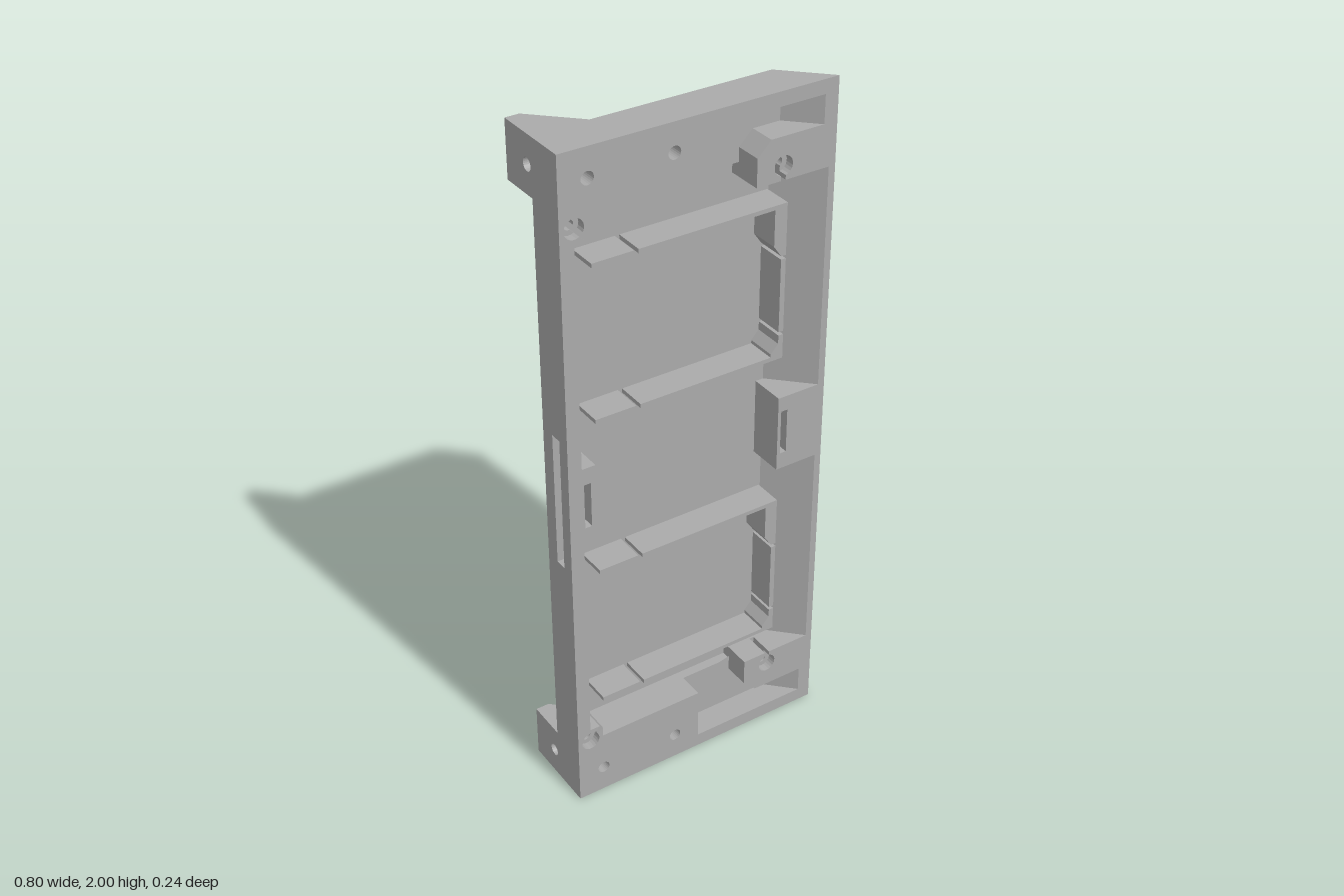
import * as THREE from 'three';

const FRONT = 0.118; // z of the front face
const FLOOR = 0.012; // thickness of the back panel
const grey = new THREE.MeshStandardMaterial({ color: 0xaaaaaa });
grey.name = 'grey';

const points = (list) => list.map(([x, y]) => new THREE.Vector2(x, y));
const rect = (x0, x1, y0, y1) => [[x0, y0], [x1, y0], [x1, y1], [x0, y1]];

function circle(cx, cy, r, n = 24) {
  return Array.from({ length: n }, (_, i) => {
    const a = (i / n) * Math.PI * 2;
    return [cx + r * Math.cos(a), cy + r * Math.sin(a)];
  });
}

// Extrude an outline with holes from z0 to z1
function slab(outline, holes, z0, z1) {
  const shape = new THREE.Shape(points(outline));
  shape.holes = holes.map((h) => new THREE.Path(points(h)));
  const geo = new THREE.ExtrudeGeometry(shape, { depth: z1 - z0, bevelEnabled: false });
  return geo.translate(0, 0, z0);
}

// Lean everything on the far +x side inwards at 45 degrees towards the back
function leanRight(geo) {
  const p = geo.attributes.position;
  for (let i = 0; i < p.count; i++) {
    if (p.getX(i) > 0.3) p.setX(i, p.getX(i) - (FRONT - p.getZ(i)));
  }
  geo.computeVertexNormals();
  return geo;
}

// Round screw pocket opening into the cavity through a narrow notch
function keyhole(cx, cy, r, dir) {
  const a = Math.asin(0.007 / r), n = 20;
  return Array.from({ length: n + 1 }, (_, i) => {
    const t = dir + a + (i / n) * (Math.PI * 2 - 2 * a);
    return [cx + r * Math.cos(t), cy + r * Math.sin(t)];
  });
}

// Cavity outline: upper half mirrored about y = 1
function cavity(pocket, r) {
  const upper = [
    [0.25, 1.115], [0.38, 1.115], [0.38, 1.76],
    ...(r ? [[0.247, 1.76], ...keyhole(0.24, 1.8, r, -Math.PI / 2), [0.233, 1.76]] : []),
    [0.16, 1.76],
    ...(pocket
      ? [[0.16, 1.84], [0.2, 1.88], [0.36, 1.88], [0.36, 1.96], [0, 1.96], [0, 1.8]]
      : [[0.16, 1.8]]),
    [-0.32, 1.8],
    ...(r ? [[-0.32, 1.77], ...keyhole(-0.36, 1.8, r, -Math.PI / 4), [-0.33, 1.76]] : [[-0.32, 1.76]]),
    [-0.36, 1.76], [-0.36, 1.2],
  ];
  return [...upper.map(([x, y]) => [x, 2 - y]).reverse(), ...upper];
}

export function createModel() {
  const model = new THREE.Group();
  model.name = 'mountingPanel';
  const add = (name, geo, parent = model) => {
    const mesh = new THREE.Mesh(geo, grey);
    mesh.name = name;
    parent.add(mesh);
    return mesh;
  };

  // Through holes, wider at the back for the screw heads
  const outer = rect(-0.4, 0.4, 0, 2);
  const screws = (r) => [0.08, 1.92].flatMap((y) => [circle(-0.08, y, r), circle(-0.32, y, 0.018)]);
  const rightSlot = rect(0.26, 0.28, 0.935, 1.07);

  // Back panel and stacked frame layers
  add('backPanel', leanRight(slab(outer, screws(0.032), 0, FLOOR)));
  add('frameBase', leanRight(slab(outer, [cavity(false, 0), ...screws(0.032)], FLOOR, 0.04)));
  add('frameLower', leanRight(slab(outer, [cavity(true, 0.014), ...screws(0.018)], 0.04, 0.045)));
  // this layer is left open on one side as the long side slot
  const open = [[-0.4, 1.2], [-0.4, 2], [0.4, 2], [0.4, 0], [-0.4, 0], [-0.4, 0.8], ...cavity(true, 0.014)];
  add('frameSlotted', leanRight(slab(open, screws(0.018), 0.045, 0.08)));
  add('frameUpper', leanRight(slab(outer, [cavity(true, 0.014), rightSlot, ...screws(0.018)], 0.08, 0.092)));
  add('frameFront', leanRight(slab(outer, [cavity(true, 0.028), rightSlot, ...screws(0.018)], 0.092, FRONT)));

  // Slotted tab on the right wall of the cavity
  const tab = rect(-0.36, -0.32, 0.885, 1.12);
  add('tabBase', slab(tab, [], FLOOR, 0.08));
  add('tabFront', slab(tab, [rect(-0.355, -0.335, 0.935, 1.07)], 0.08, FRONT));

  // Two bays of thin rails, corner blocks and an end wall
  const top = 0.1;
  [0, -0.92].forEach((dy, i) => {
    const bay = new THREE.Group();
    bay.name = i ? 'lowerBay' : 'upperBay';
    bay.position.y = dy;
    model.add(bay);
    for (const y of [1.234, 1.678]) {
      add('railEnd', slab(rect(-0.305, -0.185, y - 0.006, y + 0.006), [], FLOOR, top), bay);
      add('rail', slab(rect(-0.172, 0.27, y - 0.006, y + 0.006), [], FLOOR, top), bay);
    }
    add('upperCorner', slab([[0.232, 1.672], [0.232, 1.568], [0.255, 1.535], [0.27, 1.535], [0.27, 1.672]], [], FLOOR, top), bay);
    add('lowerCorner', slab([[0.232, 1.24], [0.27, 1.24], [0.27, 1.3], [0.255, 1.3], [0.255, 1.275], [0.232, 1.25]], [], FLOOR, top), bay);
    add('endWall', slab(rect(0.255, 0.27, 1.31, 1.525), [], FLOOR, top), bay);
  });

  // Rear brackets: two sloped webs and a drilled plate
  const webShape = [[-0.4, 0], [-0.24, 0], [-0.36, 0.118], [-0.4, 0.118]];
  for (const y0 of [0, 1.84]) {
    const bracket = new THREE.Group();
    bracket.name = y0 ? 'upperBracket' : 'lowerBracket';
    bracket.position.y = y0;
    model.add(bracket);
    for (const y of [0, 0.12]) {
      // turned so the extrusion runs upwards and the outline points to the back
      add('web', slab(webShape, [], y, y + 0.04).rotateX(-Math.PI / 2), bracket);
    }
    const plate = slab(rect(0, 0.118, 0.04, 0.12), [circle(0.02, 0.08, 0.018)], 0, 0.04);
    add('drilledPlate', plate.rotateY(Math.PI / 2).translate(-0.4, 0, 0), bracket);
  }
  return model;
}
